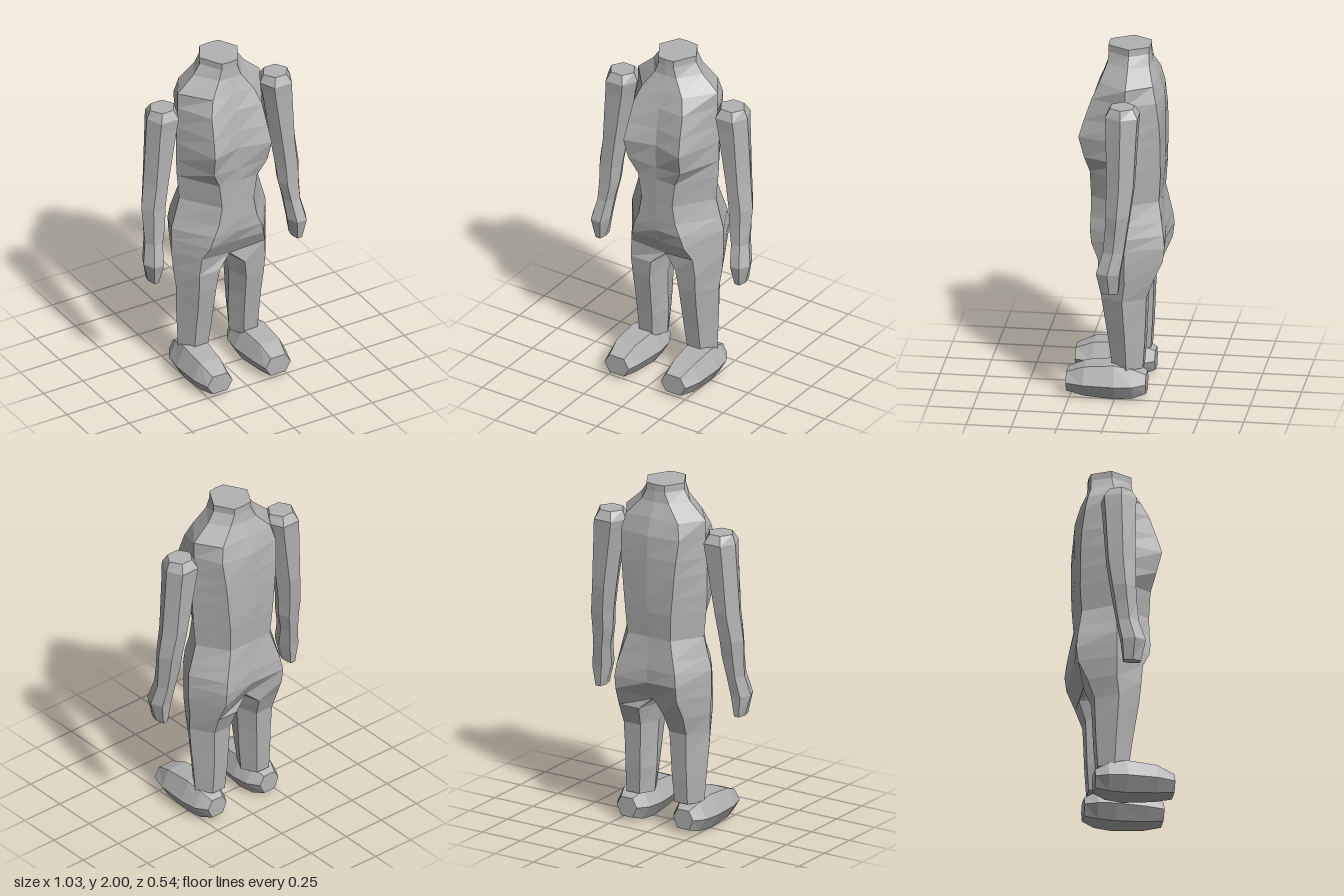
import * as THREE from 'three';

const grey = new THREE.MeshStandardMaterial({ color: 0xb3b3b3 });
grey.name = 'plain grey';

// Skin a list of rings (each a list of [x, y, z]) with flat faces and optional end caps
function loft(name, rings, capStart = true, capEnd = true) {
  const pos = [];
  const tri = (a, b, c) => pos.push(...a, ...b, ...c);
  const n = rings[0].length;
  for (let k = 0; k < rings.length - 1; k++) {
    for (let i = 0; i < n; i++) {
      const j = (i + 1) % n;
      const a = rings[k][i], b = rings[k][j], c = rings[k + 1][j], d = rings[k + 1][i];
      tri(a, b, c);
      tri(a, c, d);
    }
  }
  const first = rings[0], last = rings[rings.length - 1];
  for (let i = 1; i < n - 1; i++) {
    if (capStart) tri(first[0], first[i + 1], first[i]);
    if (capEnd) tri(last[0], last[i], last[i + 1]);
  }
  const geo = new THREE.BufferGeometry();
  geo.setAttribute('position', new THREE.Float32BufferAttribute(pos, 3));
  geo.computeVertexNormals();
  const mesh = new THREE.Mesh(geo, grey);
  mesh.name = name;
  return mesh;
}

// Swap rings to the other side of the body, keeping the faces outward
const mirror = rings => rings.map(r => r.map(([x, y, z]) => [-x, y, z]).reverse());

// Torso section: front centre, front corner, side, back corner, back centre, then mirrored
function torsoRing([y, yMid, zFront, xf, zf, xs, xb, zb, zBack]) {
  const zs = -0.06;
  return [
    [0, yMid, zFront], [xf, y, zf], [xs, y, zs], [xb, y, zb],
    [0, yMid, zBack], [-xb, y, zb], [-xs, y, zs], [-xf, y, zf],
  ];
}

// Upright limb section with flat front and back, pointed at the sides
function limbRing([y, xIn, xFi, xFo, xOut, zf, zb]) {
  const zm = (zf + zb) / 2;
  return [[xFi, y, zf], [xFo, y, zf], [xOut, y, zm], [xFo, y, zb], [xFi, y, zb], [xIn, y, zm]];
}

// Shoe section lying along z
function shoeRing([z, cx, rx, y0, yMid, y1]) {
  const h = rx * 0.58;
  return [
    [cx + rx, yMid, z], [cx + h, y1, z], [cx - h, y1, z],
    [cx - rx, yMid, z], [cx - h, y0, z], [cx + h, y0, z],
  ];
}

export function createModel() {
  const model = new THREE.Group();
  model.name = 'headlessFigure';

  // Torso from hips to neck, closed with a flat cap
  const torso = [
    // y, yMid, zFront, xf, zf, xs, xb, zb, zBack
    [0.80, 0.76, 0.06, 0.20, 0.10, 0.30, 0.20, -0.26, -0.19],
    [0.88, 0.87, 0.12, 0.17, 0.14, 0.30, 0.20, -0.27, -0.25],
    [0.95, 0.95, 0.15, 0.15, 0.15, 0.30, 0.19, -0.262, -0.25],
    [1.02, 1.02, 0.155, 0.12, 0.15, 0.28, 0.17, -0.25, -0.24],
    [1.13, 1.13, 0.155, 0.10, 0.15, 0.25, 0.14, -0.23, -0.23],
    [1.28, 1.28, 0.155, 0.12, 0.155, 0.265, 0.15, -0.24, -0.245],
    [1.38, 1.36, 0.16, 0.17, 0.18, 0.27, 0.16, -0.24, -0.25],
    [1.50, 1.50, 0.165, 0.18, 0.21, 0.27, 0.17, -0.24, -0.25],
    [1.60, 1.60, 0.15, 0.17, 0.18, 0.265, 0.18, -0.235, -0.25],
    [1.72, 1.72, 0.13, 0.16, 0.14, 0.26, 0.19, -0.22, -0.245],
    [1.81, 1.82, 0.10, 0.13, 0.10, 0.26, 0.17, -0.20, -0.215],
    [1.90, 1.90, 0.07, 0.07, 0.065, 0.16, 0.09, -0.17, -0.18],
    [1.96, 1.96, 0.065, 0.05, 0.06, 0.12, 0.06, -0.165, -0.17],
    [2.00, 2.00, 0.065, 0.05, 0.06, 0.12, 0.06, -0.165, -0.17],
  ];
  model.add(loft('torso', torso.map(torsoRing), false, true));

  // Legs, whose top ring meets the torso at hip and crotch
  const leg = [
    [0.17, 0.07, 0.115, 0.20, 0.255, 0.02, -0.15],
    [0.32, 0.06, 0.105, 0.20, 0.265, 0.04, -0.16],
    [0.45, 0.06, 0.10, 0.20, 0.275, 0.06, -0.165],
    [0.58, 0.055, 0.095, 0.205, 0.28, 0.08, -0.17],
    [0.69, 0.04, 0.08, 0.21, 0.29, 0.09, -0.21],
  ].map(limbRing);
  leg.push([
    [0, 0.76, 0.06], [0.20, 0.80, 0.10], [0.30, 0.80, -0.06],
    [0.20, 0.80, -0.26], [0, 0.76, -0.19], [0, 0.76, -0.06],
  ]);

  // Shoes, tapering to heel and toe
  const shoe = [
    [-0.17, 0.185, 0.065, 0.03, 0.09, 0.14],
    [-0.10, 0.185, 0.105, 0.008, 0.085, 0.175],
    [0.00, 0.185, 0.118, 0, 0.085, 0.195],
    [0.17, 0.19, 0.105, 0.012, 0.085, 0.18],
    [0.27, 0.185, 0.08, 0.03, 0.085, 0.14],
  ].map(shoeRing);

  // Arms hanging down, ending in blunt hands
  const arm = [
    [0.70, 0.43, 0.44, 0.47, 0.482, 0.045, -0.05],
    [0.82, 0.40, 0.425, 0.485, 0.515, 0.07, -0.06],
    [0.94, 0.39, 0.41, 0.465, 0.49, 0.035, -0.08],
    [1.05, 0.365, 0.39, 0.46, 0.495, 0.025, -0.095],
    [1.15, 0.355, 0.385, 0.46, 0.50, 0.02, -0.11],
    [1.31, 0.33, 0.365, 0.44, 0.482, 0.02, -0.13],
    [1.64, 0.28, 0.315, 0.42, 0.46, 0.025, -0.145],
    [1.71, 0.265, 0.305, 0.415, 0.455, 0.03, -0.15],
    [1.76, 0.285, 0.325, 0.395, 0.435, 0.005, -0.12],
  ].map(limbRing);

  model.add(
    loft('leftLeg', leg, true, false), loft('rightLeg', mirror(leg), true, false),
    loft('leftShoe', shoe), loft('rightShoe', mirror(shoe)),
    loft('leftArm', arm), loft('rightArm', mirror(arm)),
  );
  return model;
}
